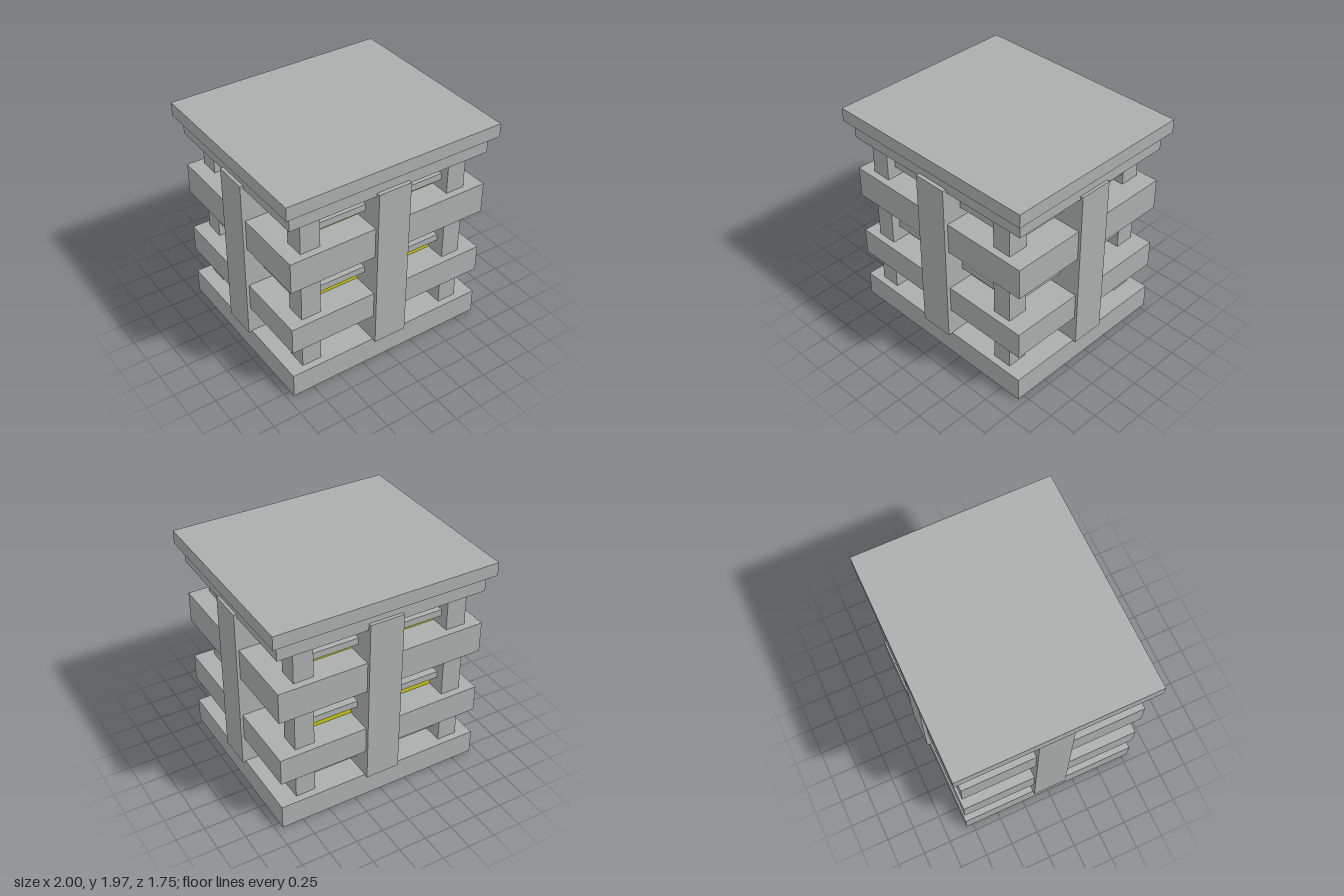
import * as THREE from 'three';

export function createModel() {
  const group = new THREE.Group();
  const concrete = new THREE.MeshStandardMaterial({ color: 0xa9aeac });
  concrete.name = 'concrete grey';
  const glow = new THREE.MeshStandardMaterial({ color: 0xcac40c });
  glow.name = 'window yellow';

  // Box given by its limits on each axis
  function block(name, material, [x0, x1], [y0, y1], [z0, z1]) {
    const mesh = new THREE.Mesh(new THREE.BoxGeometry(x1 - x0, y1 - y0, z1 - z0), material);
    mesh.position.set((x0 + x1) / 2, (y0 + y1) / 2, (z0 + z1) / 2);
    mesh.name = name;
    group.add(mesh);
  }

  // Base, two floor slabs, top slab and overhanging roof
  const slabs = { base: [0, 0.22], lowerSlab: [0.475, 0.72], upperSlab: [1.1, 1.38], topSlab: [1.69, 1.85] };
  for (const [name, y] of Object.entries(slabs)) {
    block(name, concrete, [-0.94, 0.94], y, [-0.81, 0.81]);
  }
  block('roof', concrete, [-1, 1], [1.85, 1.97], [-0.875, 0.875]);

  // Each storey: window core, corner columns and a ring of thin ledges
  const storeys = [
    { y: [0.22, 0.475], ledge: [0.318, 0.378] },
    { y: [0.72, 1.1], ledge: [0.85, 0.91] },
    { y: [1.38, 1.69], ledge: [1.475, 1.535] },
  ];
  const columnX = [[-0.81, -0.63], [0.6, 0.775]];
  const columnZ = [[-0.747, -0.567], [0.567, 0.747]];
  for (const { y, ledge } of storeys) {
    block('windowCore', glow, [-0.64, 0.61], y, [-0.57, 0.57]);
    for (const x of columnX) for (const z of columnZ) block('cornerColumn', concrete, x, y, z);
    block('frontLedge', concrete, [-0.7, 0.68], ledge, [0.55, 0.67]);
    block('backLedge', concrete, [-0.7, 0.68], ledge, [-0.67, -0.55]);
    block('leftLedge', concrete, [0.59, 0.765], ledge, [-0.65, 0.65]);
    block('rightLedge', concrete, [-0.795, -0.62], ledge, [-0.65, 0.65]);
  }

  // Deep pillars in the middle of each side
  block('frontPillar', concrete, [-0.153, 0.153], [0.21, 1.72], [0.5, 0.845]);
  block('backPillar', concrete, [-0.153, 0.153], [0.21, 1.75], [-0.84, -0.5]);
  block('leftPillar', concrete, [0.5, 0.965], [0.21, 1.72], [-0.153, 0.153]);
  block('rightPillar', concrete, [-0.968, -0.5], [0.21, 1.72], [-0.153, 0.153]);

  return group;
}
